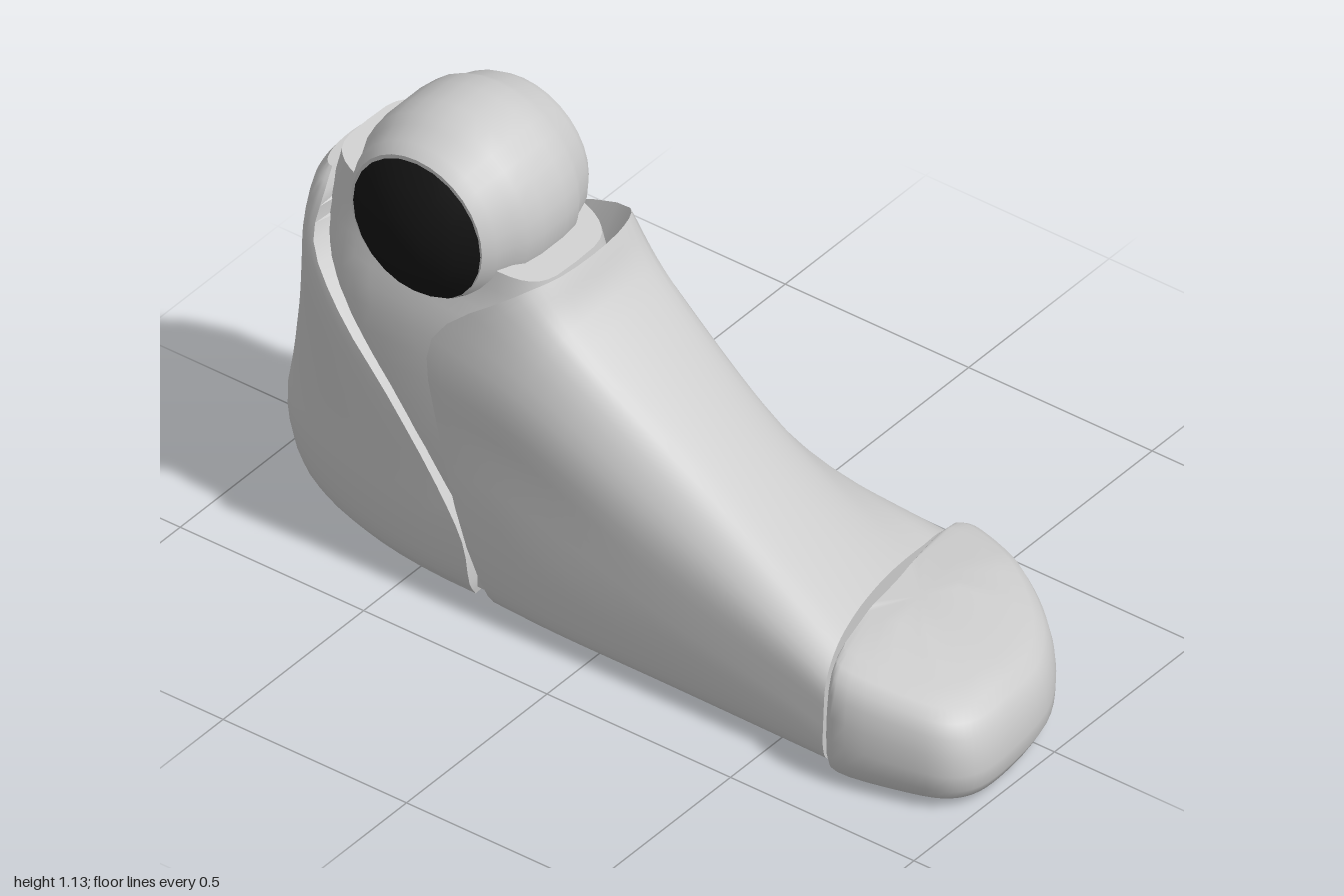
import * as THREE from 'three';
import { toCreasedNormals } from 'three/addons/utils/BufferGeometryUtils.js';

const V = (x, y, z) => new THREE.Vector3(x, y, z);
const grey = new THREE.MeshStandardMaterial({ color: 0xcccccc });
const black = new THREE.MeshStandardMaterial({ color: 0x141414 });

// Smooth curve through a few points
function smooth(points, n, closed = false) {
  const out = new THREE.CatmullRomCurve3(points, closed, 'centripetal').getPoints(n);
  if (closed) out.pop();
  return out;
}

// Smooth a list of rings from station to station
function blend(rings, n) {
  const lines = rings[0].map((_, j) => smooth(rings.map((r) => r[j]), n));
  return lines[0].map((_, i) => lines.map((l) => l[i]));
}

// Closed solid through rings of equal length, capped at both ends
function loft(rings, crease = 0.7) {
  const n = rings[0].length, pos = [], idx = [];
  const push = (p) => pos.push(p.x, Math.max(p.y, 0.003), p.z);
  rings.forEach((r) => r.forEach(push));
  for (let i = 0; i < rings.length - 1; i++) {
    for (let j = 0; j < n; j++) {
      const k = (j + 1) % n, a = i * n, b = a + n;
      idx.push(a + j, b + j, a + k, b + j, b + k, a + k);
    }
  }
  [0, rings.length - 1].forEach((row, end) => {
    const c = pos.length / 3;
    push(rings[row].reduce((s, p) => s.add(p), V(0, 0, 0)).divideScalar(n));
    for (let j = 0; j < n; j++) {
      const p = row * n + j, q = row * n + ((j + 1) % n);
      if (end) idx.push(c, q, p); else idx.push(c, p, q);
    }
  });
  const g = new THREE.BufferGeometry();
  g.setAttribute('position', new THREE.Float32BufferAttribute(pos, 3));
  g.setIndex(idx);
  return toCreasedNormals(g, crease);
}

// Midfoot: four cross-sections from the ankle collar to the slanted toe joint
function midfootGeometry() {
  const collar = [
    [-0.27, 0.01, 0.31], [-0.30, 0.10, 0.355], [-0.40, 0.45, 0.365], [-0.42, 0.69, 0.362],
    [-0.24, 0.845, 0.30], [-0.19, 0.865, 0.20], [-0.19, 0.865, 0.0], [-0.24, 0.845, -0.11],
    [-0.49, 0.70, -0.165], [-0.44, 0.45, -0.215], [-0.32, 0.10, -0.31], [-0.28, 0.01, -0.27]];
  const instep = [
    [-0.10, 0.01, 0.32], [-0.12, 0.10, 0.36], [-0.20, 0.42, 0.36], [-0.20, 0.62, 0.35],
    [-0.14, 0.745, 0.28], [-0.13, 0.77, 0.20], [-0.13, 0.77, 0.02], [-0.14, 0.73, -0.10],
    [-0.20, 0.60, -0.16], [-0.20, 0.40, -0.21], [-0.10, 0.10, -0.35], [-0.10, 0.01, -0.31]];
  const arch = [
    [0.20, 0.01, 0.32], [0.20, 0.08, 0.355], [0.20, 0.27, 0.355], [0.20, 0.42, 0.33],
    [0.20, 0.51, 0.26], [0.20, 0.53, 0.18], [0.19, 0.52, 0.03], [0.18, 0.47, -0.08],
    [0.17, 0.38, -0.16], [0.17, 0.25, -0.265], [0.17, 0.10, -0.38], [0.17, 0.01, -0.34]];
  const joint = [
    [0.01, 0.32], [0.05, 0.355], [0.15, 0.355], [0.23, 0.34], [0.28, 0.28], [0.295, 0.18],
    [0.28, 0.04], [0.25, -0.08], [0.21, -0.20], [0.165, -0.32], [0.08, -0.39], [0.01, -0.35],
  ].map(([y, z]) => [0.543 + 0.28 * z, y, z]);
  const rings = [collar, instep, arch, joint]
    .map((r) => smooth(r.map((p) => V(...p)), 48, true));
  return loft(blend(rings, 18));
}

// Toe: plan outline stacked upwards, shrinking towards the middle of the joint
function toeGeometry() {
  const outline = smooth([
    [0.475, -0.365], [0.495, -0.382], [0.56, -0.37], [0.68, -0.32], [0.80, -0.24], [0.89, -0.15],
    [0.965, -0.02], [1.0, 0.18], [0.99, 0.27], [0.95, 0.32], [0.86, 0.355], [0.69, 0.388],
    [0.665, 0.375], [0.64, 0.27], [0.57, 0.0],
  ].map(([x, z]) => V(x, 0, z)), 60, true);
  const levels = [[0, 0.90], [0.08, 0.955], [0.22, 0.995], [0.4, 1], [0.6, 0.99],
    [0.78, 0.965], [0.9, 0.925], [0.97, 0.86], [1, 0.75], [1.01, 0.4]];
  const rings = levels.map(([f, s]) => outline.map((p) => {
    const x = 0.57 + (p.x - 0.57) * s, z = p.z * s;
    const top = 0.29 + 0.18 * Math.min(0, z - 0.12) - 0.2 * Math.max(0, x - 0.67);
    return V(x, 0.008 + f * (top - 0.008), z);
  }));
  return loft(rings);
}

// Heel: rounded U sections, cut back at the front as they rise, fuller on the left
function heelGeometry() {
  // y, back x, front x on the left, front x on the right, right z, left z
  const rows = [
    [0.01, -0.92, -0.34, -0.37, -0.24, 0.31], [0.06, -0.975, -0.33, -0.37, -0.28, 0.345],
    [0.18, -1.0, -0.335, -0.39, -0.285, 0.365], [0.30, -0.975, -0.41, -0.425, -0.25, 0.36],
    [0.47, -0.94, -0.55, -0.49, -0.208, 0.35], [0.62, -0.915, -0.70, -0.55, -0.175, 0.33],
    [0.75, -0.89, -0.79, -0.64, -0.135, 0.30], [0.86, -0.87, -0.79, -0.78, -0.07, 0.26],
    [0.90, -0.845, -0.80, -0.80, -0.03, 0.22]];
  const rings = rows.map(([y, xb, xl, xr, z0, z1]) => {
    const ring = [];
    for (let i = 0; i <= 28; i++) {
      const t = Math.PI * (0.5 - i / 28), s = Math.sin(t);
      const xf = THREE.MathUtils.lerp(xr, xl, (s + 1) / 2);
      const side = Math.sign(s) * Math.pow(Math.abs(s), s < 0 ? 1.25 : 0.9);
      ring.push(V(
        xf + (xb - xf) * Math.pow(Math.max(0, Math.cos(t)), 0.9), y,
        (z0 + z1) / 2 + ((z1 - z0) / 2) * side));
    }
    return ring;
  });
  return loft(blend(rings, 24));
}

// Ankle socket: core between heel and midfoot, its rim sloping down to the front
function socketGeometry() {
  // y, x range, z range, share of the rim slope
  const rows = [
    [0.03, -0.42, -0.22, -0.25, 0.31, 0], [0.25, -0.50, -0.20, -0.24, 0.335, 0],
    [0.50, -0.70, -0.20, -0.19, 0.33, 0], [0.68, -0.81, -0.22, -0.145, 0.31, 0.2],
    [0.80, -0.82, -0.22, -0.09, 0.275, 0.7], [0.89, -0.80, -0.23, -0.07, 0.26, 1]];
  const rings = rows.map(([y, x0, x1, z0, z1, k]) => {
    const ring = [];
    for (let i = 0; i < 40; i++) {
      const t = (i / 40) * Math.PI * 2, c = Math.cos(t), s = Math.sin(t);
      const x = (x0 + x1) / 2 + ((x1 - x0) / 2) * Math.sign(c) * Math.sqrt(Math.abs(c));
      const z = (z0 + z1) / 2 + ((z1 - z0) / 2) * Math.sign(s) * Math.sqrt(Math.abs(s));
      ring.push(V(x, y - 0.22 * k * (x + 0.52), z));
    }
    return ring;
  });
  return loft(blend(rings, 16));
}

// Turned part with its axis along z
function turned(profile, sides) {
  const g = new THREE.LatheGeometry(profile.map(([r, y]) => new THREE.Vector2(r, y)), sides);
  return toCreasedNormals(g.rotateX(Math.PI / 2), 0.9);
}

export function createModel() {
  const model = new THREE.Group();
  const add = (name, geometry, material = grey) => {
    const mesh = new THREE.Mesh(geometry, material);
    mesh.name = name;
    model.add(mesh);
    return mesh;
  };
  add('midfoot', midfootGeometry());
  add('toe', toeGeometry());
  add('heel', heelGeometry());
  add('ankleSocket', socketGeometry());

  // Hinge block filling the slanted gap behind the toe
  const hinge = add('toeHinge', new THREE.BoxGeometry(0.08, 0.15, 0.62));
  hinge.position.set(0.555, 0.095, 0);
  hinge.rotation.y = 0.268;

  // Ankle joint: rounded barrel with a black domed cap on each side
  add('ankleBarrel', turned([
    [0, -0.19], [0.178, -0.19], [0.198, -0.162], [0.213, -0.115], [0.228, -0.09], [0.234, -0.04],
    [0.234, 0.04], [0.228, 0.09], [0.213, 0.115], [0.198, 0.162], [0.178, 0.19], [0, 0.19],
  ], 32)).position.set(-0.52, 0.9, 0.095);
  for (const side of [1, -1]) {
    const cap = add(side > 0 ? 'leftAnkleCap' : 'rightAnkleCap', turned([
      [0.176, -0.03], [0.176, 0], [0.13, 0.036], [0.06, 0.063], [0, 0.065],
    ], 24), black);
    cap.position.set(-0.52, 0.895, 0.095 + side * 0.188);
    if (side < 0) cap.rotation.y = Math.PI;
  }
  return model;
}
